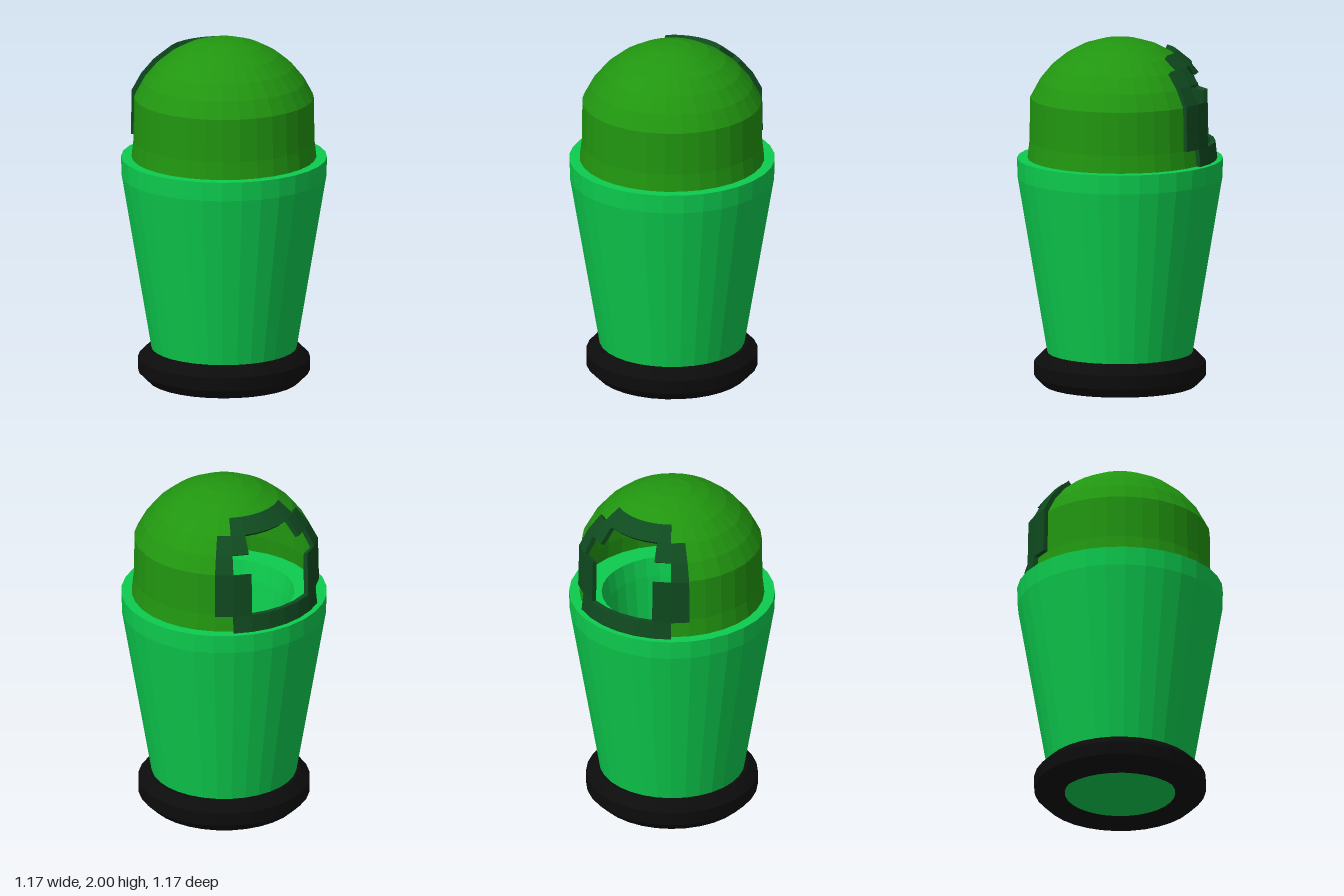
import * as THREE from 'three';

const SEG = 32;
const STEP = Math.PI / 16;

const material = (color) =>
  new THREE.MeshStandardMaterial({ color, flatShading: true, side: THREE.DoubleSide });

function addMesh(group, name, geometry, mat) {
  const mesh = new THREE.Mesh(geometry, mat);
  mesh.name = name;
  group.add(mesh);
}

const lathe = (points) =>
  new THREE.LatheGeometry(points.map(([r, y]) => new THREE.Vector2(r, y)), SEG);

// Lid rings from the top down: radius, height and tilt of the outward normal.
const DOME_R = 0.5525, DOME_Y = 1.4475;
const rings = [];
for (let k = 0; k <= 6; k++) {
  const t = k * STEP;
  rings.push([DOME_R * Math.sin(t), DOME_Y + DOME_R * Math.cos(t), t]);
}
rings.push([0.514, 1.41, Math.PI / 2], [0.525, 1.31, Math.PI / 2]);

// Columns are counted from the middle of the opening, at -z; both sides mirror.
const frameCells = { 3: [0, 1, 2], 4: [2, 3], 5: [3], 6: [2, 3], 7: [0, 1, 2] };
const holeCells = { 4: [0, 1], 5: [0, 1, 2], 6: [0, 1] };

function inCells(cells, row, col) {
  const c = (col + SEG) % SEG;
  return (cells[row] || []).includes(Math.min(c, SEG - 1 - c));
}

// Point on the lid grid, raised by lift along the surface normal.
function gridPoint(row, col, lift) {
  const [r, y, tilt] = rings[row];
  const a = col * STEP;
  const radius = r + lift * Math.sin(tilt);
  return [radius * Math.sin(a), y + lift * Math.cos(tilt), -radius * Math.cos(a)];
}

const cellCorners = (row, col, lift) => [
  gridPoint(row, col, lift), gridPoint(row, col + 1, lift),
  gridPoint(row + 1, col + 1, lift), gridPoint(row + 1, col, lift),
];

function pushQuad(out, a, b, c, d) {
  out.push(...a, ...c, ...d);
  if (a[0] !== b[0] || a[2] !== b[2] || a[1] !== b[1]) out.push(...a, ...b, ...c);
}

function toGeometry(positions) {
  const geometry = new THREE.BufferGeometry();
  geometry.setAttribute('position', new THREE.Float32BufferAttribute(positions, 3));
  geometry.computeVertexNormals();
  return geometry;
}

// Domed skin with the opening left out
function lidGeometry() {
  const out = [];
  for (let row = 0; row < rings.length - 1; row++) {
    for (let col = 0; col < SEG; col++) {
      if (inCells(frameCells, row, col) || inCells(holeCells, row, col)) continue;
      pushQuad(out, ...cellCorners(row, col, 0));
    }
  }
  return toGeometry(out);
}

// Raised stepped border around the opening
function frameGeometry() {
  const out = [];
  for (let row = 3; row <= 7; row++) {
    for (let col = 0; col < SEG; col++) {
      if (!inCells(frameCells, row, col)) continue;
      const low = cellCorners(row, col, 0);
      const high = cellCorners(row, col, 0.028);
      pushQuad(out, ...high);
      pushQuad(out, low[3], low[2], low[1], low[0]);
      const neighbours = [[row - 1, col], [row, col + 1], [row + 1, col], [row, col - 1]];
      neighbours.forEach(([r, c], i) => {
        if (inCells(frameCells, r, c)) return;
        const j = (i + 1) % 4;
        pushQuad(out, low[i], low[j], high[j], high[i]);
      });
    }
  }
  return toGeometry(out);
}

export function createModel() {
  const group = new THREE.Group();
  group.name = 'litterBin';

  // Tapered container: underside, outer wall, rim, inner wall and floor
  addMesh(group, 'container', lathe([
    [0, 0.04], [0.388, 0.04], [0.413, 0.19], [0.582, 1.2], [0.585, 1.31],
    [0.4, 1.31], [0.38, 1.2], [0.27, 0.2], [0, 0.2],
  ]), material(0x0dcc4e));

  // Rounded base ring with a flat top and bottom
  const ring = [];
  for (let i = 0; i <= 8; i++) {
    const a = (-i + 0.5) * Math.PI / 4;
    const r = 0.095 / Math.cos(Math.PI / 8);
    ring.push([0.393 + r * Math.cos(a), 0.096 + r * Math.sin(a)]);
  }
  addMesh(group, 'baseRing', lathe(ring.reverse()), material(0x0c0c0c));

  addMesh(group, 'domedLid', lidGeometry(), material(0x219610));
  addMesh(group, 'openingFrame', frameGeometry(), material(0x0f4a1f));
  return group;
}
